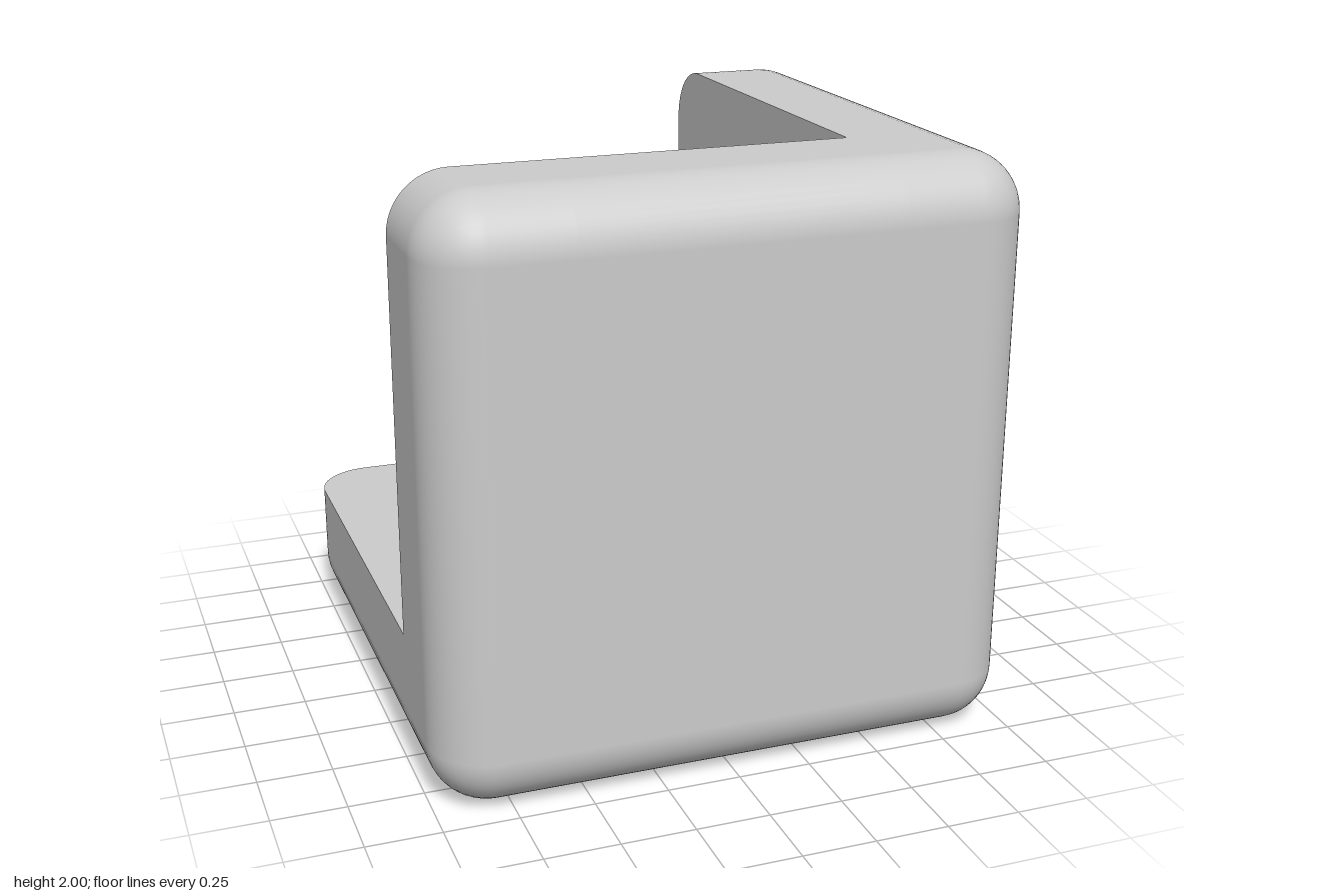
import * as THREE from 'three';

const HALF = 1, RADIUS = 0.2, FLAT = HALF - RADIUS; // rounded cube
const CUT = 0.533;                                  // inner planes of the three walls
const ARC_STEPS = 6;                                // per 45 degrees of rounding

// The cube-shaped hollow opens toward -x, +y and -z.
const inHollow = (p) => p[0] < CUT && p[1] > -CUT && p[2] < CUT;

// Rounded outside of the cube, leaving out the cells that border the hollow.
function outerShell() {
  const stops = [CUT];
  for (let i = 0; i <= ARC_STEPS; i++) {
    stops.push(FLAT + RADIUS * Math.tan((Math.PI / 4) * (i / ARC_STEPS)));
  }
  const grid = [...stops.map((t) => -t).reverse(), ...stops];
  const n = grid.length;
  const position = [], normal = [], index = [];

  for (let axis = 0; axis < 3; axis++) {
    for (const side of [-1, 1]) {
      const point = (u, v) => {
        const p = [0, 0, 0];
        p[axis] = side * HALF;
        p[(axis + 1) % 3] = u;
        p[(axis + 2) % 3] = v;
        return p;
      };
      const base = position.length / 3;
      for (const v of grid) {
        for (const u of grid) {
          const p = new THREE.Vector3(...point(u, v));
          const core = p.clone().clampScalar(-FLAT, FLAT);
          const dir = p.sub(core).normalize();
          normal.push(...dir.toArray());
          position.push(...core.addScaledVector(dir, RADIUS).toArray());
        }
      }
      for (let j = 0; j < n - 1; j++) {
        for (let i = 0; i < n - 1; i++) {
          if (inHollow(point((grid[i] + grid[i + 1]) / 2, (grid[j] + grid[j + 1]) / 2))) continue;
          const a = base + j * n + i, b = a + 1, c = b + n, d = a + n;
          if (side > 0) index.push(a, b, c, a, c, d);
          else index.push(a, c, b, a, d, c);
        }
      }
    }
  }
  const geometry = new THREE.BufferGeometry();
  geometry.setAttribute('position', new THREE.Float32BufferAttribute(position, 3));
  geometry.setAttribute('normal', new THREE.Float32BufferAttribute(normal, 3));
  geometry.setIndex(index);
  return geometry;
}

// Flat square with its far corner rounded, starting at the hollow's inner corner.
function innerPanel() {
  const size = HALF + CUT;
  const shape = new THREE.Shape();
  shape.moveTo(0, 0);
  shape.lineTo(size, 0);
  shape.lineTo(size, size - RADIUS);
  shape.absarc(size - RADIUS, size - RADIUS, RADIUS, 0, Math.PI / 2, false);
  shape.lineTo(0, size);
  shape.closePath();
  return new THREE.ShapeGeometry(shape, ARC_STEPS * 2);
}

export function createModel() {
  const group = new THREE.Group();
  group.name = 'roundedCorner';
  const material = new THREE.MeshStandardMaterial({ color: 0xcccccc });

  const shell = new THREE.Mesh(outerShell(), material);
  shell.name = 'outerShell';
  shell.position.y = HALF;
  group.add(shell);

  // Inner faces of the two walls and the floor
  const x = new THREE.Vector3(-1, 0, 0);
  const y = new THREE.Vector3(0, 1, 0);
  const z = new THREE.Vector3(0, 0, -1);
  const panel = innerPanel();
  const panels = [
    ['frontWallInside', x, y, z],
    ['sideWallInside', y, z, x],
    ['floorInside', z, x, y],
  ];
  for (const [name, right, up, facing] of panels) {
    const mesh = new THREE.Mesh(panel, material);
    mesh.name = name;
    mesh.quaternion.setFromRotationMatrix(new THREE.Matrix4().makeBasis(right, up, facing));
    mesh.position.set(CUT, HALF - CUT, CUT);
    group.add(mesh);
  }
  return group;
}
